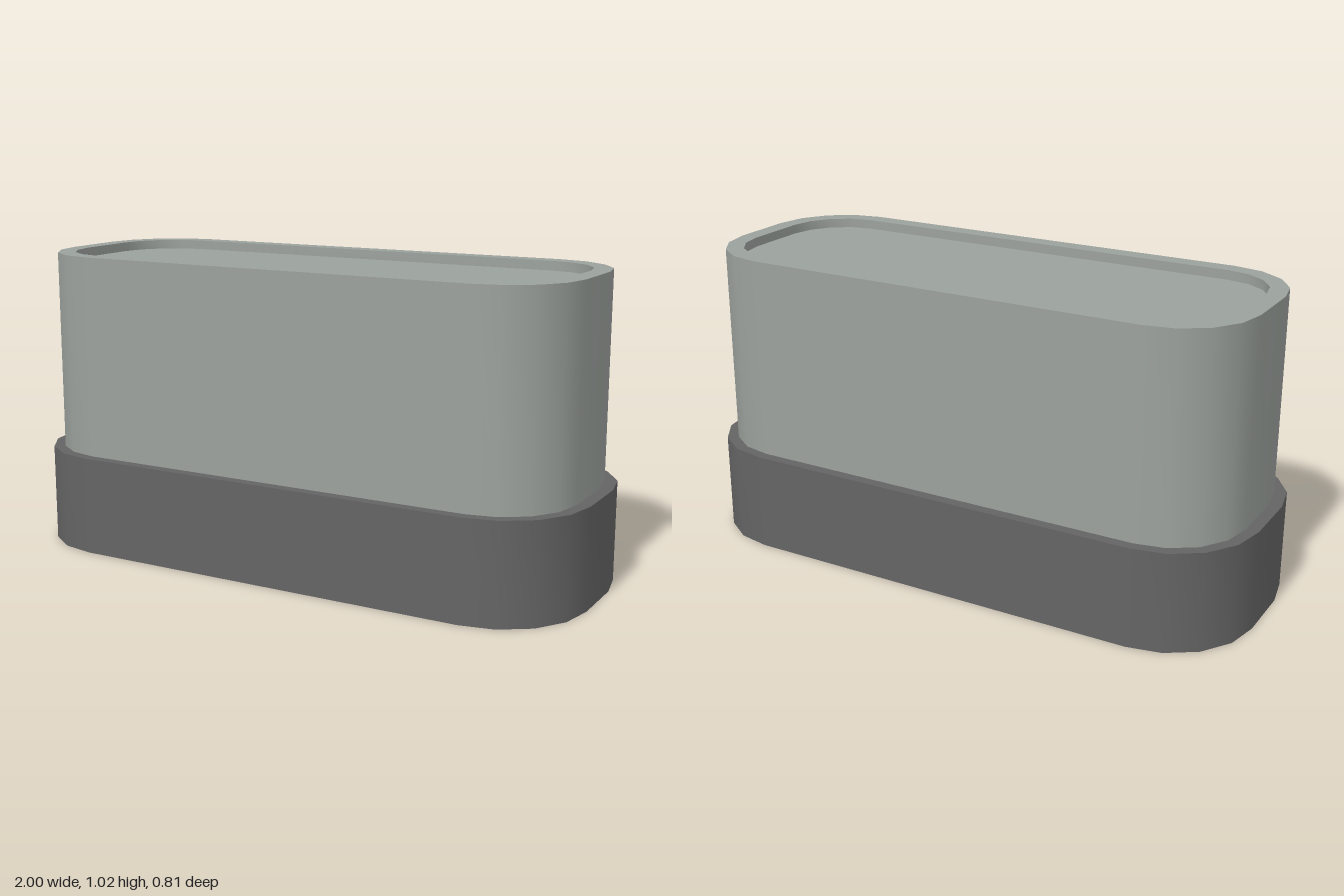
import * as THREE from 'three';

// Rounded-rectangle outline with four segments per corner
function outline(halfX, halfZ, r) {
  const pts = [];
  const signs = [[1, 1], [-1, 1], [-1, -1], [1, -1]];
  signs.forEach(([sx, sz], q) => {
    for (let i = 0; i <= 4; i++) {
      const a = (q + i / 4) * Math.PI / 2;
      pts.push(new THREE.Vector2(
        sx * (halfX - r) + r * Math.cos(a),
        sz * (halfZ - r) + r * Math.sin(a)));
    }
  });
  return pts;
}

// Closed band joining outline a at height ya to outline b at height yb
function band(a, ya, b, yb) {
  const n = a.length, pos = [], index = [];
  a.forEach(p => pos.push(p.x, ya, p.y));
  b.forEach(p => pos.push(p.x, yb, p.y));
  for (let i = 0; i < n; i++) {
    const j = (i + 1) % n;
    index.push(i, n + i, n + j, i, n + j, j);
  }
  const g = new THREE.BufferGeometry();
  g.setAttribute('position', new THREE.Float32BufferAttribute(pos, 3));
  g.setIndex(index);
  g.computeVertexNormals();
  return g;
}

export function createModel() {
  const lightGrey = new THREE.MeshStandardMaterial({ color: 0x9ba19d, side: THREE.DoubleSide });
  lightGrey.name = 'lightGrey';
  const darkGrey = new THREE.MeshStandardMaterial({ color: 0x646464, side: THREE.DoubleSide });
  darkGrey.name = 'darkGrey';

  const model = new THREE.Group();
  const add = (name, geometry, material) => {
    const mesh = new THREE.Mesh(geometry, material);
    mesh.name = name;
    model.add(mesh);
    return mesh;
  };

  const skirt = outline(1, 0.406, 0.3);
  const body = outline(0.958, 0.369, 0.26);
  const recess = outline(0.897, 0.308, 0.2);
  const stepY = 0.337, topY = 1.025, floorY = 0.993;

  // Dark skirt, open underneath, with its narrow step
  add('baseSkirt', band(skirt, 0, skirt, stepY), darkGrey);
  add('baseStep', band(skirt, stepY, body, stepY), darkGrey);

  // Hollow upper body with a rim around a shallow recess
  add('bodyWall', band(body, stepY, body, topY), lightGrey);
  add('topRim', band(body, topY, recess, topY), lightGrey);
  add('recessWall', band(recess, topY, recess, floorY), lightGrey);
  const floor = new THREE.ShapeGeometry(new THREE.Shape(recess));
  floor.rotateX(-Math.PI / 2);
  add('recessFloor', floor, lightGrey).position.y = floorY;

  return model;
}
